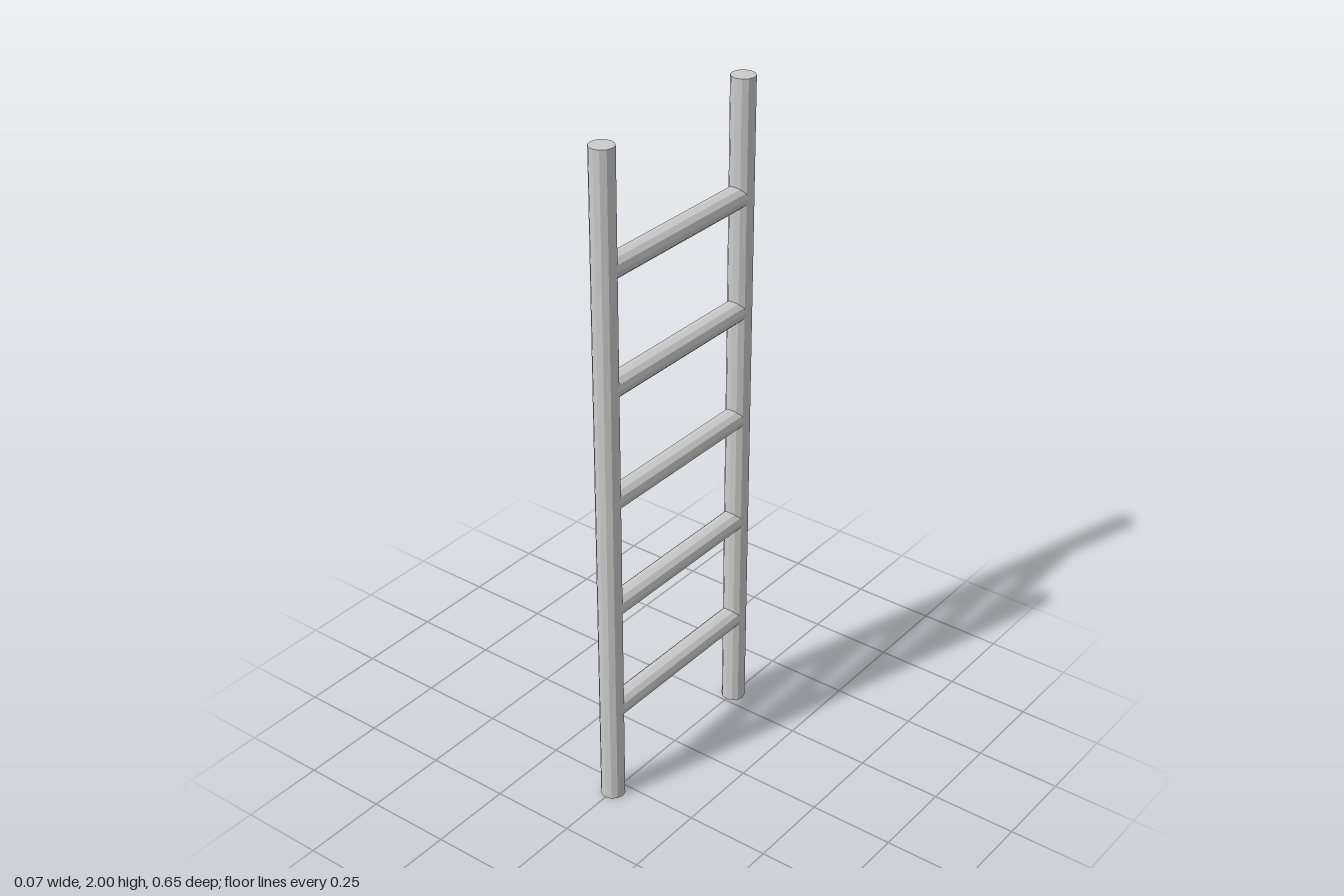
import * as THREE from 'three';

const RAIL_RADIUS = 0.035;
const RUNG_RADIUS = 0.0335;
const RAIL_Z = 0.292;
const HEIGHT = 2;
const RUNG_COUNT = 5;
const FIRST_RUNG = 0.297;
const RUNG_STEP = 0.341;
const SIDES = 12;

export function createModel() {
  const ladder = new THREE.Group();
  ladder.name = 'ladder';
  const material = new THREE.MeshStandardMaterial({ color: 0xcccccc, flatShading: true });

  // Two upright rails
  const railGeometry = new THREE.CylinderGeometry(RAIL_RADIUS, RAIL_RADIUS, HEIGHT, SIDES);
  for (const side of [1, -1]) {
    const rail = new THREE.Mesh(railGeometry, material);
    rail.name = side > 0 ? 'frontRail' : 'backRail';
    rail.position.set(0, HEIGHT / 2, side * RAIL_Z);
    ladder.add(rail);
  }

  // Evenly spaced rungs running between the rail centres
  const rungGeometry = new THREE.CylinderGeometry(RUNG_RADIUS, RUNG_RADIUS, 2 * RAIL_Z, SIDES);
  rungGeometry.rotateX(Math.PI / 2);
  for (let i = 0; i < RUNG_COUNT; i++) {
    const rung = new THREE.Mesh(rungGeometry, material);
    rung.name = `rung${i + 1}`;
    rung.position.y = FIRST_RUNG + i * RUNG_STEP;
    ladder.add(rung);
  }

  return ladder;
}
